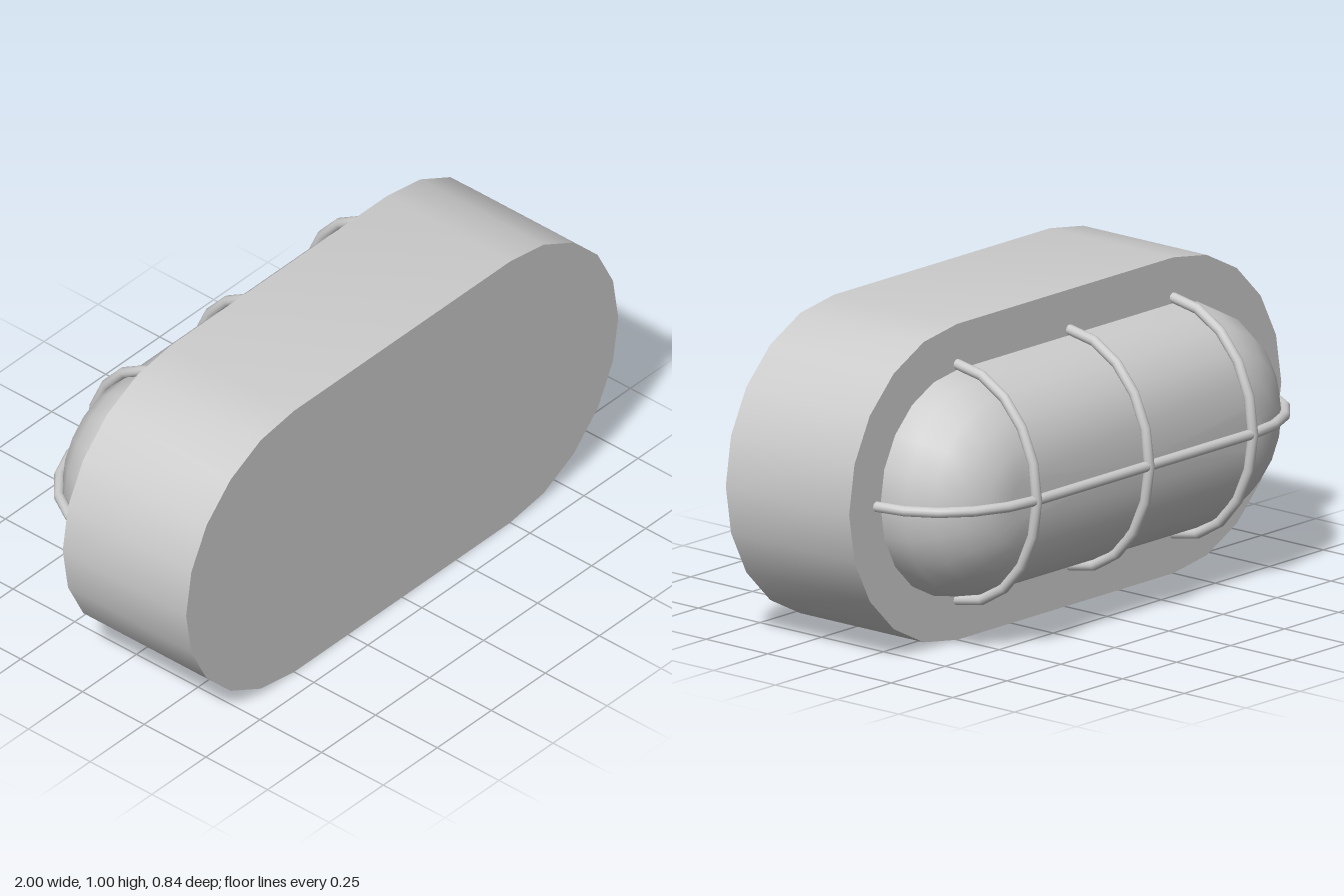
import * as THREE from 'three';
import { toCreasedNormals } from 'three/addons/utils/BufferGeometryUtils.js';

const MID_Y = 0.5;    // height of the long axis
const HALF = 0.5;     // half length of the straight sides
const FACE_Z = -0.08; // mounting face that carries the lens and cage
const STEPS = 10;     // facets per half circle

// Outline with straight sides and half-round ends, counter-clockwise from +z
function stadium(r) {
  const pts = [];
  for (const side of [1, -1]) {
    for (let i = 0; i <= STEPS; i++) {
      const a = -Math.PI / 2 + (Math.PI * i) / STEPS;
      pts.push(new THREE.Vector2(side * (HALF + r * Math.cos(a)), side * r * Math.sin(a)));
    }
  }
  return pts;
}

// Rounded lens: rings of the outline shrinking along a quarter arc, closed by a flat front
function lensGeometry(innerR, bevel, arcSteps) {
  const pos = [], index = [];
  const n = stadium(1).length;
  for (let k = 0; k <= arcSteps; k++) {
    const a = (Math.PI / 2) * (k / arcSteps);
    const z = FACE_Z - bevel * Math.sin(a);
    for (const p of stadium(innerR + bevel * Math.cos(a))) pos.push(p.x, MID_Y + p.y, z);
  }
  for (let k = 0; k < arcSteps; k++) {
    for (let i = 0; i < n; i++) {
      const a = k * n + i, b = k * n + ((i + 1) % n);
      index.push(a, a + n, b, b, a + n, b + n);
    }
  }
  const last = arcSteps * n;
  pos.push(0, MID_Y, FACE_Z - bevel);
  for (let i = 0; i < n; i++) index.push(last + n, last + ((i + 1) % n), last + i);
  const g = new THREE.BufferGeometry();
  g.setAttribute('position', new THREE.Float32BufferAttribute(pos, 3));
  g.setIndex(index);
  g.computeVertexNormals();
  return g;
}

// Round wire bent at each given point
function wireGeometry(points, radius) {
  const n = points.length - 1;
  const curve = new THREE.Curve();
  curve.getPoint = (t) => {
    const s = Math.min(Math.max(t, 0), 1) * n;
    const i = Math.min(Math.floor(s), n - 1);
    return points[i].clone().lerp(points[i + 1], s - i);
  };
  curve.getPointAt = curve.getPoint;
  curve.getTangentAt = curve.getTangent;
  return new THREE.TubeGeometry(curve, n, radius, 12, false);
}

export function createModel() {
  const group = new THREE.Group();
  const material = new THREE.MeshStandardMaterial({ color: 0xcccccc });
  const add = (name, geometry) => {
    const mesh = new THREE.Mesh(geometry, material);
    mesh.name = name;
    group.add(mesh);
    return mesh;
  };

  // Housing
  const housing = new THREE.ExtrudeGeometry(new THREE.Shape(stadium(0.5)), { depth: 0.5, bevelEnabled: false });
  housing.translate(0, MID_Y, FACE_Z);
  add('housing', toCreasedNormals(housing, 0.6));

  // Lens
  add('lens', lensGeometry(0.07, 0.285, 5));

  // Cage: three hoops across and one long rail, their ends sunk into the housing
  const spread = 0.373, wire = 0.0165;
  const arc = (i, depth) => {
    const a = (Math.PI * i) / STEPS;
    return { w: spread * Math.cos(a), z: FACE_Z - depth * Math.sin(a) };
  };

  const hoop = [new THREE.Vector3(0, spread, FACE_Z + 0.03)];
  for (let i = 0; i <= STEPS; i++) {
    const { w, z } = arc(i, 0.323);
    hoop.push(new THREE.Vector3(0, w, z));
  }
  hoop.push(new THREE.Vector3(0, -spread, FACE_Z + 0.03));
  const hoopGeometry = wireGeometry(hoop, wire);
  for (const x of [-0.5, -0.02, 0.5]) add('cageHoop', hoopGeometry).position.set(x, MID_Y, 0);

  const rail = [new THREE.Vector3(HALF + spread, 0, FACE_Z + 0.03)];
  for (const side of [1, -1]) {
    for (let i = 0; i <= STEPS / 2; i++) {
      const { w, z } = arc(side > 0 ? i : STEPS / 2 - i, 0.32);
      rail.push(new THREE.Vector3(side * (HALF + w), 0, z));
    }
  }
  rail.push(new THREE.Vector3(-HALF - spread, 0, FACE_Z + 0.03));
  add('cageRail', wireGeometry(rail, wire)).position.y = MID_Y;

  return group;
}
